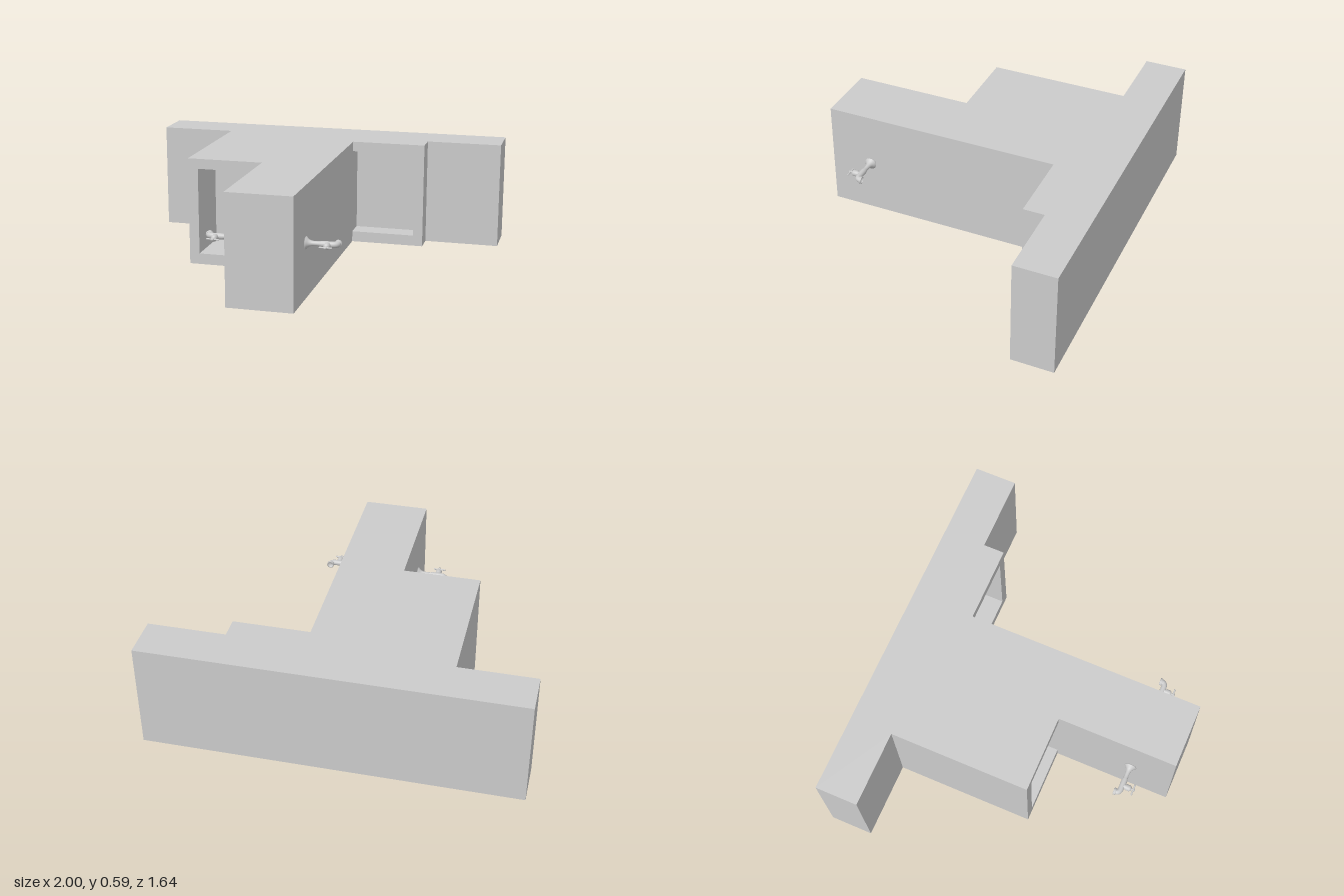
import * as THREE from 'three';

const H = 0.59;
const wallMat = new THREE.MeshStandardMaterial({ color: 0xcccccc, flatShading: true });
const tapMat = new THREE.MeshStandardMaterial({ color: 0xcccccc });

// Plan outline as [x, z], raised from y0 to y1
function slab(name, plan, y0, y1) {
  const shape = new THREE.Shape(plan.map(([x, z]) => new THREE.Vector2(x, -z)));
  const geo = new THREE.ExtrudeGeometry(shape, { depth: y1 - y0, bevelEnabled: false });
  geo.rotateX(-Math.PI / 2).translate(0, y0, 0);
  const mesh = new THREE.Mesh(geo, wallMat);
  mesh.name = name;
  return mesh;
}

// Stepped T-shaped plan; the niche corners replace the plain inner corners
function planOutline(leftCorner, rightCorner) {
  return [
    [-1, -0.82], [-1, -0.59], [-0.59, -0.59], [-0.59, 0.17],
    ...leftCorner,
    [-0.175, 0.82], [0.175, 0.82],
    ...rightCorner,
    [0.585, -0.475], [0.585, -0.59], [1, -0.59], [1, -0.82],
  ];
}

function lathe(name, profile, segments = 24) {
  const geo = new THREE.LatheGeometry(profile.map(([r, h]) => new THREE.Vector2(r, h)), segments);
  const mesh = new THREE.Mesh(geo, tapMat);
  mesh.name = name;
  return mesh;
}

// Tap growing along +x from the wall, spout turning to -z, valve on +z
function makeTap() {
  const tap = new THREE.Group();

  const flange = lathe('wallFlange', [
    [0, 0], [0.033, 0], [0.033, 0.004], [0.024, 0.012], [0.017, 0.022],
    [0.013, 0.036], [0.012, 0.06], [0.013, 0.075], [0.016, 0.085], [0.016, 0.12],
  ]);
  flange.rotation.z = -Math.PI / 2;
  tap.add(flange);

  const path = new THREE.CurvePath();
  const v = (x, z) => new THREE.Vector3(x, 0, z);
  path.add(new THREE.LineCurve3(v(0.085, 0), v(0.135, 0)));
  path.add(new THREE.QuadraticBezierCurve3(v(0.135, 0), v(0.162, 0), v(0.162, -0.022)));
  const spout = new THREE.Mesh(new THREE.TubeGeometry(path, 24, 0.0155, 20, false), tapMat);
  spout.name = 'spout';
  tap.add(spout);

  // Collar with an open mouth at the end of the spout
  const collar = lathe('spoutCollar', [
    [0.0155, 0], [0.0195, 0.002], [0.0195, 0.014], [0.015, 0.015], [0.015, 0.005], [0, 0.005],
  ]);
  collar.rotation.x = -Math.PI / 2;
  collar.position.set(0.162, 0, -0.017);
  tap.add(collar);

  const valve = lathe('valveBody', [
    [0.014, 0], [0.014, 0.02], [0.017, 0.022], [0.017, 0.042],
    [0.011, 0.05], [0.005, 0.052], [0.005, 0.064], [0.008, 0.066], [0.008, 0.07], [0, 0.073],
  ]);
  valve.rotation.x = Math.PI / 2;
  valve.position.x = 0.117;
  tap.add(valve);

  const handle = new THREE.Mesh(new THREE.CapsuleGeometry(0.0045, 0.06, 6, 12), tapMat);
  handle.name = 'handleBar';
  handle.rotation.z = Math.PI / 2;
  handle.position.set(0.117, 0, 0.062);
  tap.add(handle);
  return tap;
}

export function createModel() {
  const model = new THREE.Group();
  model.name = 'waterStation';

  const solid = planOutline([[-0.175, 0.17]], [[0.175, -0.475]]);
  const niched = planOutline(
    [[-0.535, 0.17], [-0.535, -0.12], [-0.175, -0.12]],
    [[0.175, -0.59], [0.53, -0.59], [0.53, -0.475]],
  );
  model.add(
    slab('baseSlab', solid, 0, 0.06),
    slab('nicheWalls', niched, 0.06, 0.535),
    slab('topSlab', solid, 0.535, H),
  );

  // Mirrored taps on the centre wall
  for (const side of [1, -1]) {
    const tap = makeTap();
    tap.name = side > 0 ? 'leftTap' : 'rightTap';
    tap.scale.x = side;
    tap.position.set(side * 0.175, H / 2, 0.59);
    model.add(tap);
  }
  return model;
}
